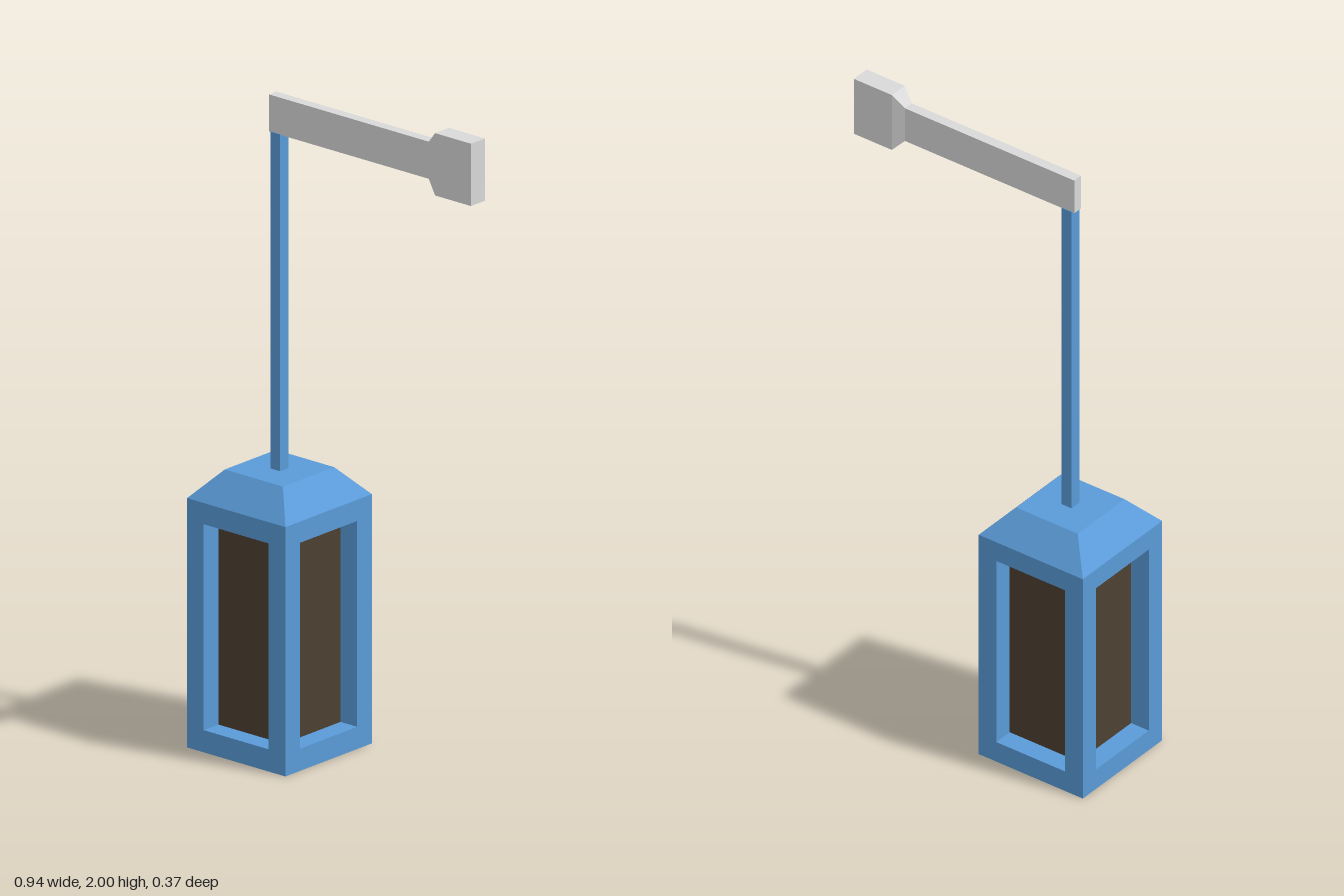
import * as THREE from 'three';

const blue = new THREE.MeshStandardMaterial({ color: 0x5a9bd8 });
blue.name = 'blue paint';
const grey = new THREE.MeshStandardMaterial({ color: 0xd9d9d9 });
grey.name = 'light grey';
const brown = new THREE.MeshStandardMaterial({ color: 0x4d4032 });
brown.name = 'dark brown glass';

const CX = -0.284;    // lantern axis
const HALF = 0.186;   // half width of the body
const INNER = 0.123;  // half width of the panes
const POST = HALF - INNER;

function add(parent, name, geometry, material, x = 0, y = 0, z = 0) {
  const mesh = new THREE.Mesh(geometry, material);
  mesh.name = name;
  mesh.position.set(x, y, z);
  parent.add(mesh);
}

// Box spanning heights y0 to y1
function block(parent, name, material, w, y0, y1, d, x = 0, z = 0) {
  add(parent, name, new THREE.BoxGeometry(w, y1 - y0, d), material, x, (y0 + y1) / 2, z);
}

function flat(geometry) {
  const g = geometry.toNonIndexed();
  g.computeVertexNormals();
  return g;
}

// Bar along x that widens into a head at its end
function armGeometry() {
  const stations = [ // x, half height, half depth
    [-0.31, 0.056, 0.016], [0.295, 0.056, 0.016],
    [0.331, 0.094, 0.03], [0.467, 0.094, 0.03],
  ];
  const g = new THREE.BoxGeometry(3, 2, 2, 3, 1, 1);
  const p = g.attributes.position;
  for (let i = 0; i < p.count; i++) {
    const [x, h, d] = stations[Math.round(p.getX(i) + 1.5)];
    p.setXYZ(i, x, p.getY(i) * h, p.getZ(i) * d);
  }
  return flat(g);
}

export function createModel() {
  const model = new THREE.Group();
  model.name = 'hangingLantern';

  // Lantern body: base, header, corner posts and recessed panes
  const lantern = new THREE.Group();
  lantern.name = 'lantern';
  lantern.position.x = CX;
  model.add(lantern);
  block(lantern, 'base', blue, HALF * 2, 0, 0.067, HALF * 2);
  block(lantern, 'header', blue, HALF * 2, 0.688, 0.752, HALF * 2);
  for (const sx of [-1, 1]) {
    for (const sz of [-1, 1]) {
      block(lantern, 'cornerPost', blue, POST, 0.067, 0.688, POST,
        sx * (HALF - POST / 2), sz * (HALF - POST / 2));
    }
  }
  block(lantern, 'panes', brown, INNER * 2, 0.067, 0.688, INNER * 2);

  // Sloping roof with a flat top
  const roof = new THREE.CylinderGeometry(0.11 * Math.SQRT2, HALF * Math.SQRT2, 0.084, 4);
  roof.rotateY(Math.PI / 4);
  add(lantern, 'roof', flat(roof), blue, 0, 0.794, 0);

  // Hanging rod and arm
  block(lantern, 'rod', blue, 0.036, 0.83, 1.852, 0.036);
  add(model, 'arm', armGeometry(), grey, 0, 1.906, 0);
  return model;
}
